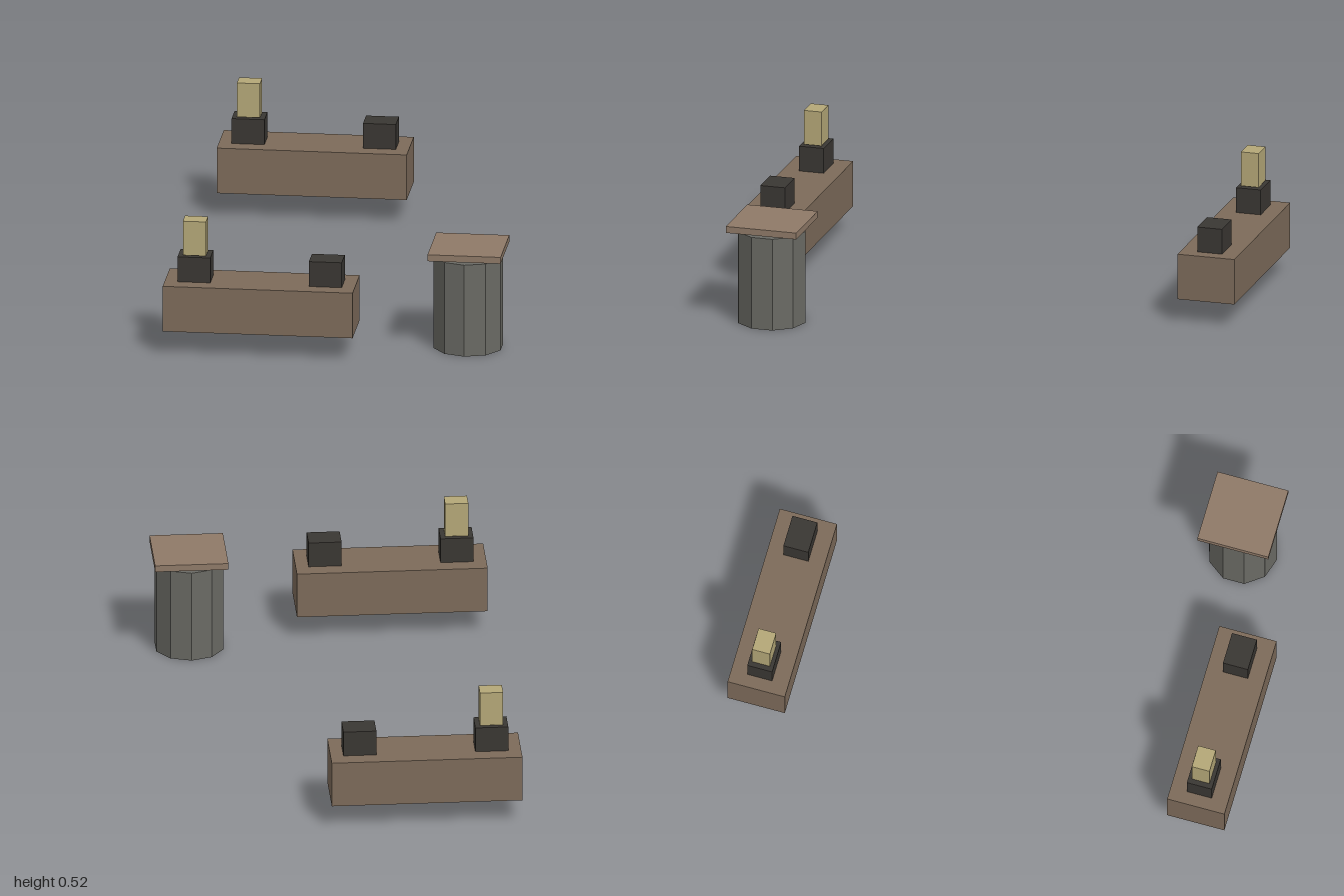
import * as THREE from 'three';

const mat = (color) => new THREE.MeshStandardMaterial({ color, flatShading: true });

export function createModel() {
  const model = new THREE.Group();
  const wood = mat(0x7d6b5a);
  const paleWood = mat(0x8f7a68);
  const iron = mat(0x3a3733);
  const brass = mat(0xb5a878);
  const stone = mat(0x6a6a64);

  // Box given by its centre in x and z and the height of its underside
  const box = (parent, name, material, [w, h, d], [x, y, z]) => {
    const mesh = new THREE.Mesh(new THREE.BoxGeometry(w, h, d), material);
    mesh.name = name;
    mesh.position.set(x, y + h / 2, z);
    parent.add(mesh);
  };

  // Two matching beams, front and back, each with two blocks and one peg
  for (const side of [1, -1]) {
    const bench = new THREE.Group();
    bench.name = side > 0 ? 'frontBench' : 'backBench';
    bench.position.z = side * 0.884;
    box(bench, 'beam', wood, [0.74, 0.183, 0.23], [-0.283, 0.096, 0]);
    box(bench, 'rightBlock', iron, [0.128, 0.101, 0.1], [-0.539, 0.279, 0]);
    box(bench, 'leftBlock', iron, [0.128, 0.101, 0.1], [-0.027, 0.279, 0]);
    box(bench, 'peg', brass, [0.09, 0.138, 0.071], [-0.539, 0.383, 0]);
    model.add(bench);
  }

  // Ten-sided pedestal with a thin square top floating just above it
  const table = new THREE.Group();
  table.name = 'table';
  table.position.set(0.508, 0, 0.744);
  const pedestal = new THREE.Mesh(new THREE.CylinderGeometry(0.137, 0.137, 0.371, 10), stone);
  pedestal.name = 'pedestal';
  pedestal.position.y = 0.371 / 2;
  table.add(pedestal);
  box(table, 'tableTop', paleWood, [0.285, 0.026, 0.285], [0, 0.384, 0]);
  model.add(table);

  return model;
}
